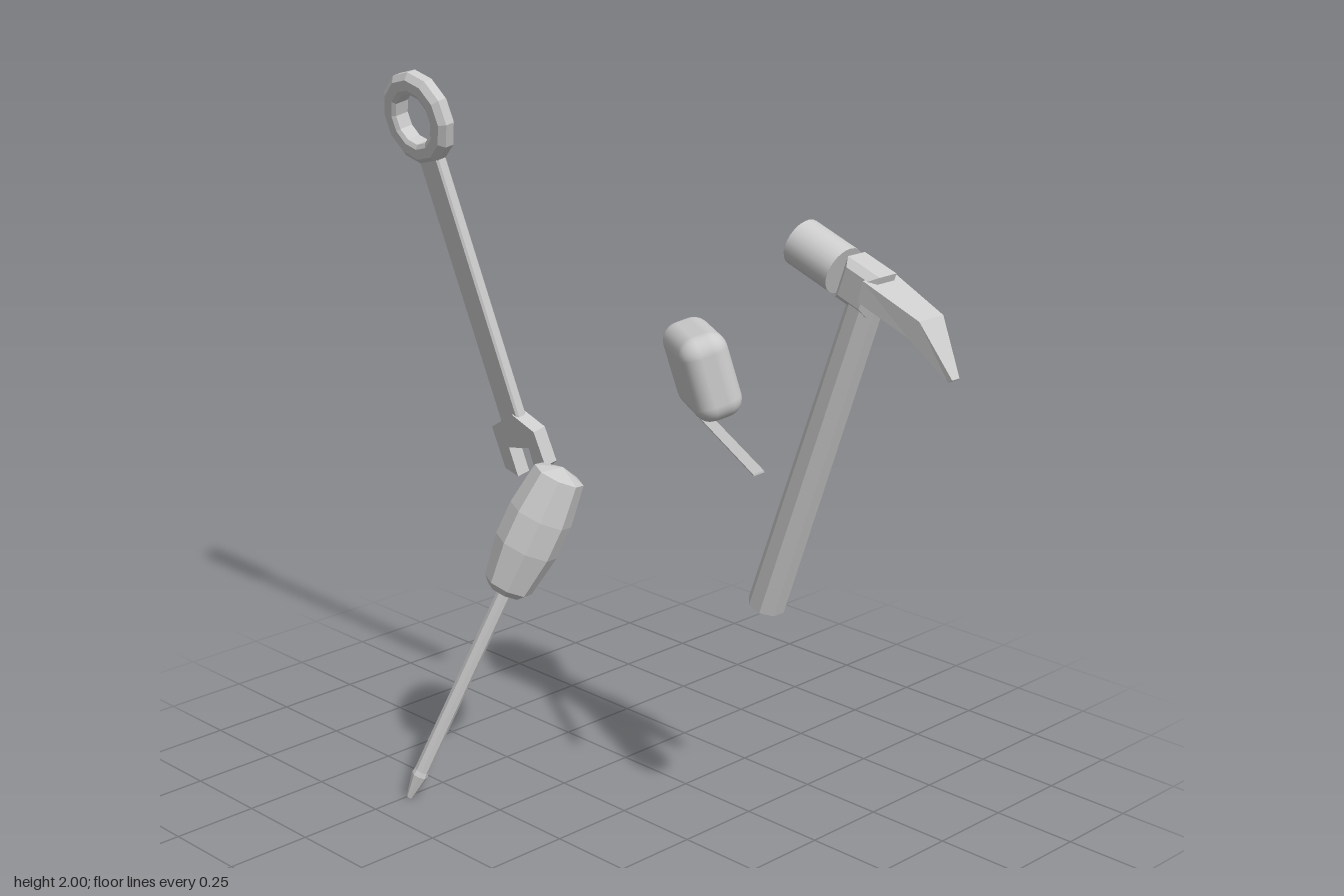
import * as THREE from 'three';
import { RoundedBoxGeometry } from 'three/addons/geometries/RoundedBoxGeometry.js';

const steel = new THREE.MeshStandardMaterial({ color: 0xcccccc });

// Faceted normals for the low-poly parts
function facet(geo) {
  const g = geo.index ? geo.toNonIndexed() : geo;
  g.computeVertexNormals();
  return g;
}

function add(parent, name, geo) {
  const mesh = new THREE.Mesh(geo, steel);
  mesh.name = name;
  parent.add(mesh);
  return mesh;
}

function lathe(points, sides) {
  return facet(new THREE.LatheGeometry(points.map(p => new THREE.Vector2(...p)), sides));
}

// Flat plate with small bevels, centred on z = 0
function plate(points, thickness, bevel) {
  const shape = new THREE.Shape(points.map(p => new THREE.Vector2(...p)));
  const depth = thickness - 2 * bevel;
  const geo = new THREE.ExtrudeGeometry(shape, {
    depth, bevelEnabled: bevel > 0, bevelThickness: bevel,
    bevelSize: bevel, bevelOffset: -bevel, bevelSegments: 1,
  });
  return facet(geo.translate(0, 0, -depth / 2));
}

function makeWrench() {
  const g = new THREE.Group();
  g.name = 'wrench';
  const ring = lathe([
    [0.075, -0.022], [0.088, -0.029], [0.118, -0.029], [0.137, -0.014],
    [0.137, 0.014], [0.118, 0.029], [0.088, 0.029], [0.075, 0.022], [0.075, -0.022],
  ], 12);
  add(g, 'wrenchRing', ring.rotateX(Math.PI / 2));
  const place = geo => geo.translate(0.862, -1.865, 0);
  add(g, 'wrenchShank', place(plate(
    [[-0.69, 0.955], [-0.605, 0.975], [-0.79, 1.765], [-0.875, 1.745]], 0.036, 0.006)));
  add(g, 'wrenchJaw', place(plate([
    [-0.728, 0.933], [-0.696, 0.805], [-0.643, 0.79], [-0.664, 0.88], [-0.573, 0.9],
    [-0.557, 0.815], [-0.51, 0.857], [-0.54, 0.96], [-0.627, 0.995],
  ], 0.045, 0)));
  g.position.set(-0.862, 1.865, -0.025);
  g.rotation.x = 0.173;
  return g;
}

function makeScrewdriver() {
  const g = new THREE.Group();
  g.name = 'screwdriver';
  add(g, 'screwdriverShaft', lathe(
    [[0, 0], [0.009, 0], [0.024, 0.075], [0.021, 0.09], [0.021, 0.72]], 8));
  add(g, 'screwdriverHandle', lathe([
    [0, 0.685], [0.052, 0.685], [0.071, 0.705], [0.092, 0.83], [0.092, 0.93],
    [0.074, 1.055], [0, 1.08],
  ], 8));
  const axis = new THREE.Vector3(0.275, 0.98, -0.355).normalize();
  g.quaternion.setFromUnitVectors(new THREE.Vector3(0, 1, 0), axis);
  g.position.set(-0.488, 0.004, 0.385);
  return g;
}

// Curved claw lofted from rectangular sections: [top x,y], [bottom x,y], half width
function clawGeometry(sections) {
  const pos = [], idx = [];
  for (const [[tx, ty], [bx, by], w] of sections) {
    pos.push(tx, ty, w, tx, ty, -w, bx, by, -w, bx, by, w);
  }
  const n = sections.length;
  for (let s = 0; s < n - 1; s++) {
    for (let k = 0; k < 4; k++) {
      const a = s * 4 + k, b = s * 4 + (k + 1) % 4;
      idx.push(a, a + 4, b, b, a + 4, b + 4);
    }
  }
  const e = (n - 1) * 4;
  idx.push(0, 1, 2, 0, 2, 3, e, e + 2, e + 1, e, e + 3, e + 2);
  const geo = new THREE.BufferGeometry();
  geo.setAttribute('position', new THREE.Float32BufferAttribute(pos, 3));
  geo.setIndex(idx);
  return facet(geo);
}

function makeHammer() {
  const g = new THREE.Group();
  g.name = 'hammer';
  const body = new THREE.Group();
  body.name = 'hammerBody';
  const handle = new THREE.CylinderGeometry(0.047, 0.052, 0.95, 8);
  add(body, 'hammerHandle', facet(handle.rotateY(Math.PI / 8))).position.set(0.018, -0.515, 0);
  add(body, 'hammerBlock', plate(
    [[-0.055, -0.058], [0.055, -0.058], [0.055, 0.058], [-0.055, 0.058]], 0.1, 0.018));
  const face = new THREE.CylinderGeometry(0.064, 0.064, 0.15, 24);
  add(body, 'hammerFace', face.rotateZ(Math.PI / 2)).position.set(-0.151, -0.002, 0);
  body.position.set(0.704, 1.64, 0);
  body.rotation.z = -0.338;
  g.add(body);
  add(g, 'hammerClaw', clawGeometry([
    [[0.745, 1.668], [0.73, 1.612], 0.06],
    [[0.915, 1.595], [0.882, 1.547], 0.046],
    [[0.998, 1.458], [0.985, 1.45], 0.014],
  ]));
  g.position.z = -0.15;
  return g;
}

function makeTapeMeasure() {
  const g = new THREE.Group();
  g.name = 'tapeMeasure';
  add(g, 'tapeCase', new RoundedBoxGeometry(0.255, 0.25, 0.14, 4, 0.052));
  add(g, 'tapeBlade', new THREE.BoxGeometry(0.5, 0.005, 0.03)).position.set(0.292, -0.119, 0.038);
  g.rotation.order = 'YXZ';
  g.rotation.set(0.29, -Math.PI / 6, 0);
  g.position.set(0.02, 1.253, -0.28);
  return g;
}

export function createModel() {
  const model = new THREE.Group();
  model.name = 'toolSet';
  model.add(makeWrench(), makeScrewdriver(), makeHammer(), makeTapeMeasure());
  return model;
}
